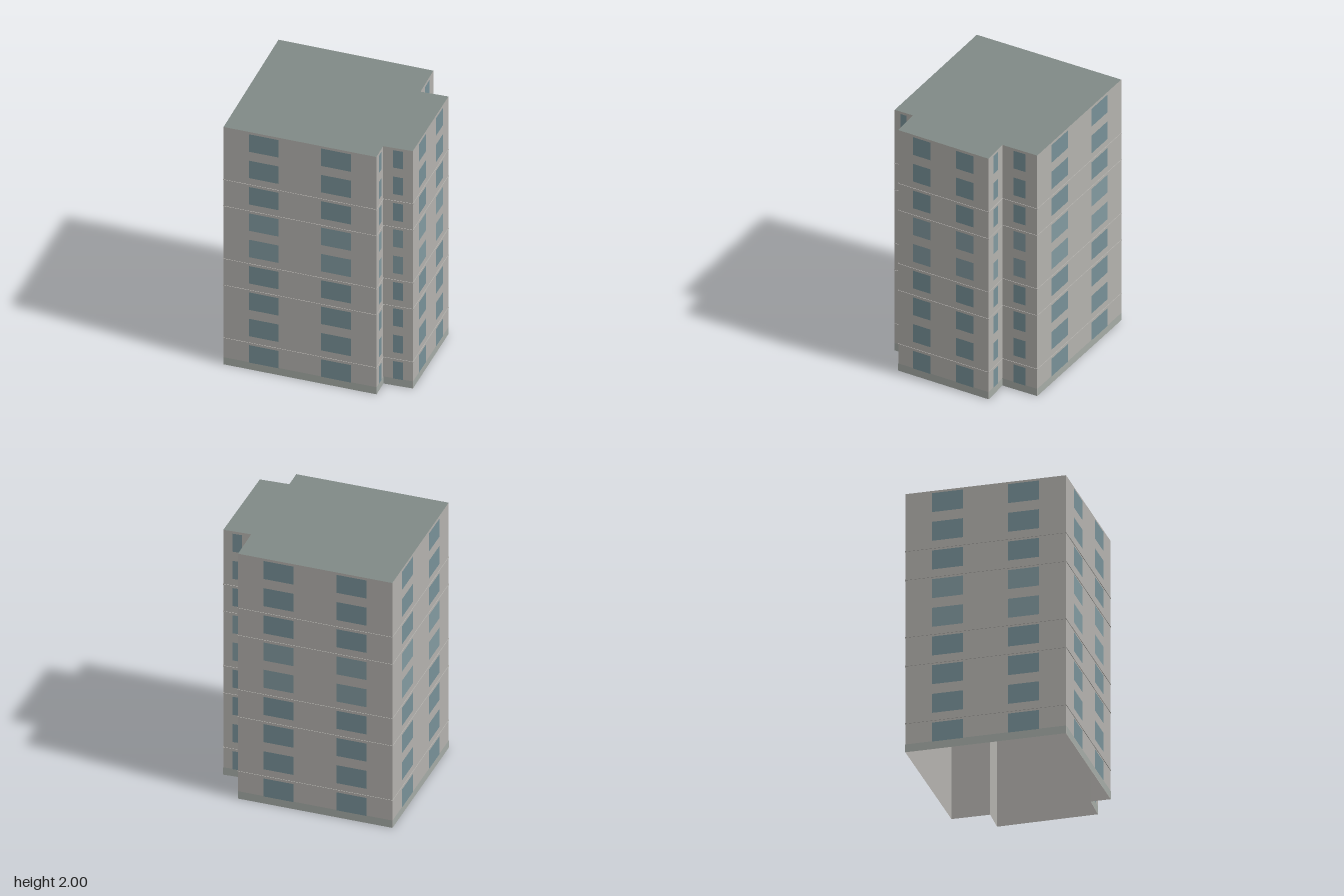
import * as THREE from 'three';

// Footprint corners (x, z), running anticlockwise seen from above
const OUTLINE = [
  [-0.727, 0.515], [0.405, 0.645], [0.42, 0.5], [0.637, 0.515],
  [0.725, -0.217], [0.52, -0.232], [0.548, -0.512], [-0.6, -0.65],
];
const HEIGHT = 2;
const FLOORS = 9;
const STOREY = HEIGHT / FLOORS;
const BASE_HEIGHT = 0.06;
const LEDGE_FLOORS = [1, 3, 4, 6, 7];

const paint = (color, side = THREE.FrontSide) =>
  new THREE.MeshStandardMaterial({ color, side, flatShading: true });

export function createModel() {
  const building = new THREE.Group();
  building.name = 'apartmentBlock';

  const wallMat = paint(0xb4b2ae, THREE.DoubleSide);
  const roofMat = paint(0x808a86, THREE.DoubleSide);
  const baseMat = paint(0xa5aba6);
  const glassMat = paint(0x789198);
  const paleGlassMat = paint(0x829aa0);

  const add = (parent, name, geometry, material, x, y, z) => {
    const mesh = new THREE.Mesh(geometry, material);
    mesh.name = name;
    mesh.position.set(x, y, z);
    parent.add(mesh);
  };

  // Each facade is laid out in its own frame: x along the wall, z outwards
  OUTLINE.forEach(([x0, z0], i) => {
    const [x1, z1] = OUTLINE[(i + 1) % OUTLINE.length];
    const length = Math.hypot(x1 - x0, z1 - z0);
    const facade = new THREE.Group();
    facade.name = 'facade';
    facade.position.set(x0, 0, z0);
    facade.rotation.y = Math.atan2(z0 - z1, x1 - x0);
    building.add(facade);

    add(facade, 'wall', new THREE.PlaneGeometry(length, HEIGHT), wallMat, length / 2, HEIGHT / 2, 0);
    add(facade, 'baseStrip', new THREE.PlaneGeometry(length, BASE_HEIGHT), baseMat,
      length / 2, BASE_HEIGHT / 2, 0.002);

    // Long walls carry two window columns, short returns one
    const columns = length > 0.5 ? [[0.167, 0.36], [0.64, 0.833]] : [[0.333, 0.667]];
    for (const [from, to] of columns) {
      const pane = new THREE.PlaneGeometry((to - from) * length, 0.147);
      for (let floor = 0; floor < FLOORS; floor++) {
        add(facade, 'window', pane, floor === 4 || floor === 5 ? paleGlassMat : glassMat,
          ((from + to) / 2) * length, floor * STOREY + 0.131, 0.003);
      }
    }

    // Thin string courses between storeys
    const ledge = new THREE.BoxGeometry(length, 0.005, 0.004);
    for (const floor of LEDGE_FLOORS) {
      add(facade, 'ledge', ledge, wallMat, length / 2, floor * STOREY, 0.002);
    }
  });

  // Flat roof; the underside of the block stays open
  const plan = new THREE.Shape(OUTLINE.map(([x, z]) => new THREE.Vector2(x, -z)));
  const roof = new THREE.ShapeGeometry(plan).rotateX(-Math.PI / 2);
  add(building, 'roof', roof, roofMat, 0, HEIGHT, 0);

  return building;
}
